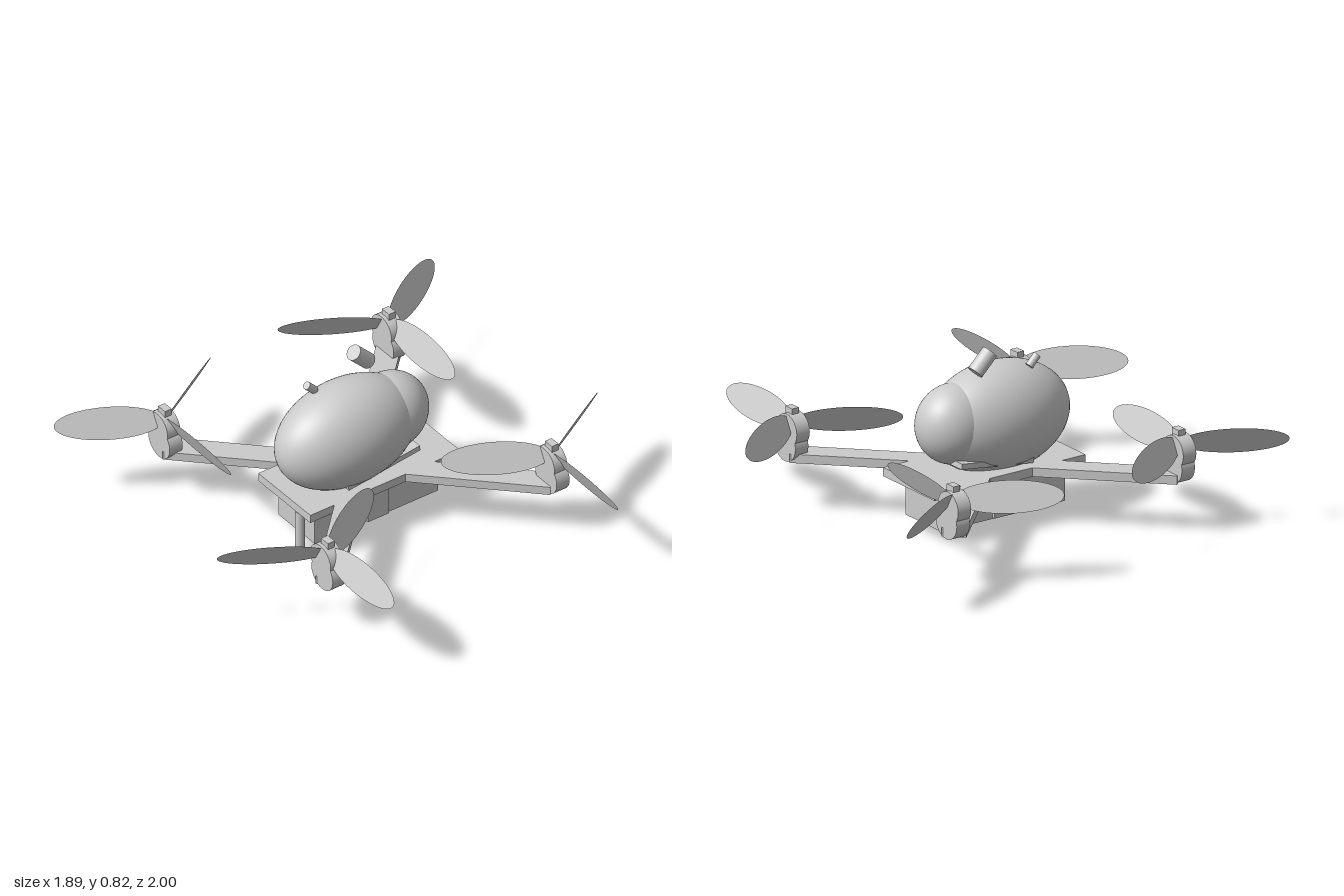
import * as THREE from 'three';

const grey = new THREE.MeshStandardMaterial({ color: 0xcccccc });
const thin = new THREE.MeshStandardMaterial({ color: 0xcccccc, side: THREE.DoubleSide });
const CX = -0.119; // centre line of the frame

function add(parent, name, geometry, x, y, z, material = grey) {
  const mesh = new THREE.Mesh(geometry, material);
  mesh.name = name;
  mesh.position.set(x, y, z);
  parent.add(mesh);
  return mesh;
}

const box = (w, h, d) => new THREE.BoxGeometry(w, h, d);
const rod = (r, h) => new THREE.CylinderGeometry(r, r, h, 24);
const ellipsoid = (rx, ry, rz) => new THREE.SphereGeometry(1, 48, 32).scale(rx, ry, rz);

// Motor pod with three flat, steeply pitched elliptical blades
function createRotor(x, z, spin) {
  const rotor = new THREE.Group();
  rotor.name = 'rotor';
  rotor.position.set(x, 0, z);
  const disc = r => rod(r, 0.068).rotateX(Math.PI / 2);
  add(rotor, 'motorLower', disc(0.077), 0.005, 0.305, 0);
  add(rotor, 'motorUpper', disc(0.074), -0.008, 0.372, 0);
  add(rotor, 'motorCap', box(0.05, 0.06, 0.035), 0, 0.44, 0);
  const pitch = Math.atan2(0.03, 0.065);
  const bladeShape = new THREE.CircleGeometry(1, 48)
    .scale(0.235, 0.0716, 1)
    .rotateX(-pitch * spin)
    .translate(0.24, 0, 0);
  for (let i = 0; i < 3; i++) {
    const blade = add(rotor, 'blade', bladeShape, 0, 0.405, 0, thin);
    blade.rotation.y = (i * Math.PI * 2) / 3;
  }
  return rotor;
}

export function createModel() {
  const model = new THREE.Group();
  model.name = 'quadcopter';

  // Frame: centre plate and two crossed arms
  add(model, 'centrePlate', box(0.375, 0.04, 0.79), CX, 0.253, -0.005);
  for (const s of [-1, 1]) {
    const arm = add(model, 'crossArm', box(1.67, 0.04, 0.108), CX, 0.253, 0);
    arm.rotation.y = (s * Math.PI) / 4;
  }

  // Battery and its strap under the plate
  add(model, 'battery', box(0.26, 0.175, 0.65), CX, 0.148, 0);
  add(model, 'batteryStrap', box(0.29, 0.17, 0.11), CX, 0.151, 0);

  // Canopy, rear dome and the slanted tray beneath them
  add(model, 'canopy', ellipsoid(0.206, 0.245, 0.35), CX, 0.465, 0.064);
  add(model, 'rearDome', ellipsoid(0.152, 0.178, 0.18), CX, 0.478, -0.162);
  const tray = add(model, 'tray', box(0.28, 0.025, 0.38), CX, 0.31, -0.035);
  tray.rotation.x = 0.13;

  // Tilted cylinders over the canopy
  add(model, 'rearCamera', rod(0.036, 0.11), -0.193, 0.757, -0.068).rotation.x = Math.PI / 4;
  add(model, 'frontSensor', rod(0.018, 0.06), -0.193, 0.708, 0.197).rotation.x = Math.PI / 4;

  // Upright rod below the nose
  add(model, 'lowerAntenna', rod(0.021, 0.217), -0.047, 0.1085, 0.36);

  // Rotors, with diagonal pairs pitched the same way
  for (const sx of [-1, 1]) {
    for (const sz of [-1, 1]) {
      model.add(createRotor(CX + sx * 0.587, sz * 0.59, sx * sz * -1 * -1));
    }
  }
  return model;
}
